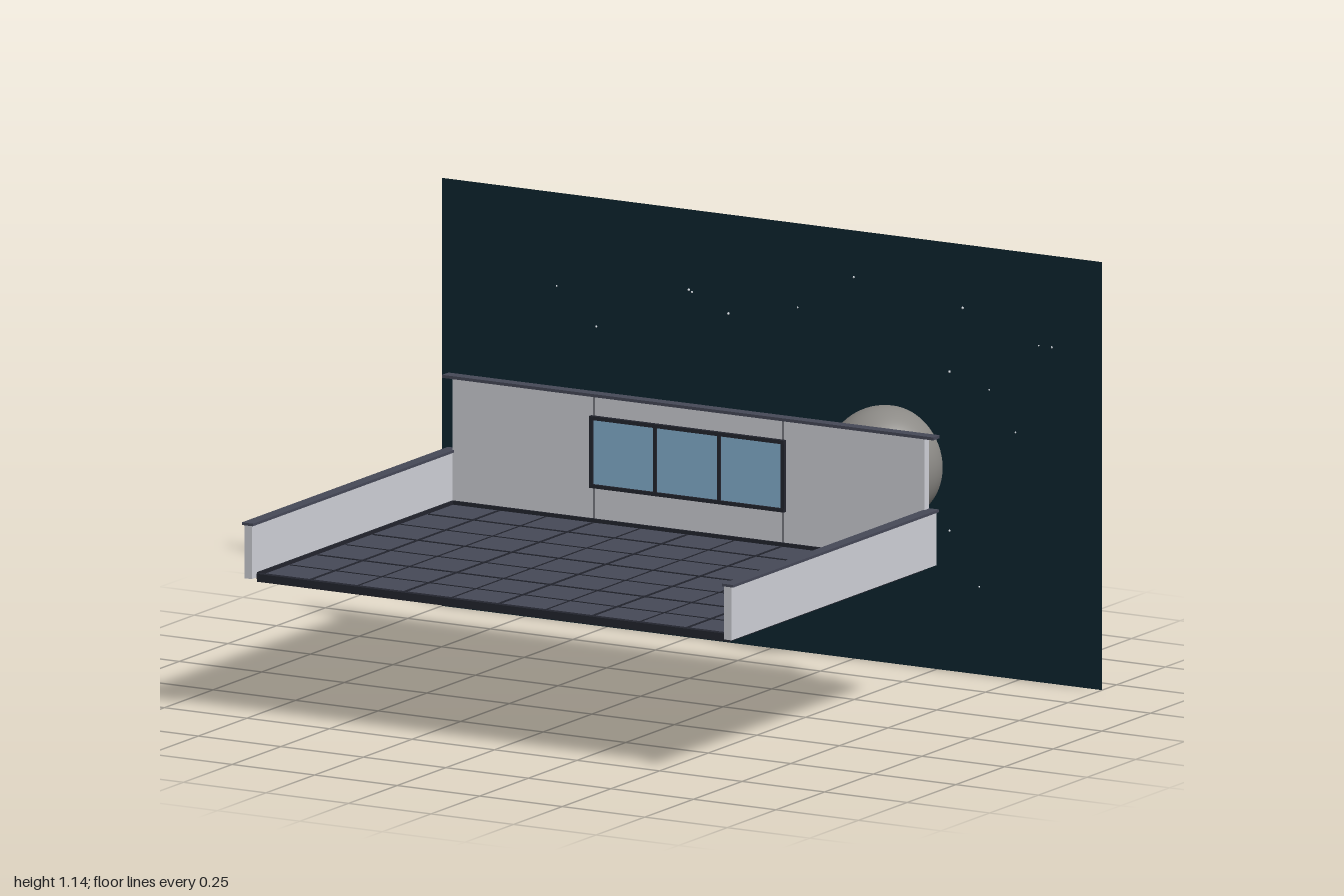
import * as THREE from 'three';

const mat = (name, color, extra = {}) => {
  const m = new THREE.MeshStandardMaterial({ color, ...extra });
  m.name = name;
  return m;
};

export function createModel() {
  const model = new THREE.Group();
  model.name = 'moonObservationDeck';

  const wall = mat('paleWall', 0xd0d1d8);
  const floorGrey = mat('slateFloor', 0x464958);
  const dark = mat('darkTrim', 0x23252e);
  const glass = mat('blueGlass', 0x86b2d2);
  const sky = mat('nightSky', 0x0d2530, { side: THREE.DoubleSide });
  const rock = mat('moonRock', 0x8c8a86);
  const crater = mat('craterGrey', 0x6c6a67);
  const starWhite = mat('starWhite', 0xe8eef4);

  const add = (name, geo, material, x, y, z, parent = model) => {
    const m = new THREE.Mesh(geo, material);
    m.name = name;
    m.position.set(x, y, z);
    parent.add(m);
    return m;
  };
  // box given by its limits on each axis
  const box = (name, material, [x0, x1], [y0, y1], [z0, z1], parent) =>
    add(name, new THREE.BoxGeometry(x1 - x0, y1 - y0, z1 - z0), material,
      (x0 + x1) / 2, (y0 + y1) / 2, (z0 + z1) / 2, parent);

  // Floor slab, front lip and base
  box('floorBase', dark, [-0.715, 0.715], [0.37, 0.378], [-0.243, 0.757]);
  box('floor', floorGrey, [-0.715, 0.715], [0.378, 0.386], [-0.245, 0.757]);
  box('frontLip', dark, [-0.715, 0.715], [0.378, 0.392], [0.744, 0.761]);

  // Floor joints: every second one is wider
  const joints = new THREE.Group();
  joints.name = 'floorJoints';
  model.add(joints);
  for (let i = -4; i <= 4; i++) {
    const w = i % 2 ? 0.002 : 0.004, x = i * 0.1425;
    box('lengthwiseJoint', dark, [x - w, x + w], [0.385, 0.3875], [-0.24, 0.745], joints);
  }
  for (let i = 0; i < 6; i++) {
    const w = i % 2 ? 0.002 : 0.004, z = -0.107 + i * 0.142;
    box('crosswiseJoint', dark, [-0.705, 0.705], [0.385, 0.3875], [z - w, z + w], joints);
  }

  // Side walls with dark caps
  for (const s of [-1, 1]) {
    const side = new THREE.Group();
    side.name = s > 0 ? 'leftSideWall' : 'rightSideWall';
    model.add(side);
    const span = (a, b) => (s > 0 ? [a, b] : [-b, -a]);
    box('sidePanel', wall, span(0.715, 0.738), [0.382, 0.524], [-0.27, 0.784], side);
    box('sideCap', floorGrey, span(0.711, 0.744), [0.524, 0.531], [-0.272, 0.786], side);
    box('sideSkirting', dark, span(0.71, 0.715), [0.386, 0.396], [-0.245, 0.757], side);
  }

  // Back wall with cap, skirting and panel seams
  box('backPanel', wall, [-0.715, 0.715], [0.382, 0.721], [-0.27, -0.247]);
  box('backCap', floorGrey, [-0.744, 0.744], [0.721, 0.729], [-0.275, -0.242]);
  box('backSkirting', dark, [-0.715, 0.715], [0.386, 0.396], [-0.247, -0.241]);
  for (const x of [-0.286, 0.286])
    box('panelSeam', dark, [x - 0.0015, x + 0.0015], [0.396, 0.721], [-0.247, -0.2455]);

  // Window: glass, rails and uprights
  const win = new THREE.Group();
  win.name = 'window';
  model.add(win);
  box('glass', glass, [-0.288, 0.288], [0.486, 0.664], [-0.247, -0.241], win);
  for (const y of [0.484, 0.666])
    box('windowRail', dark, [-0.295, 0.295], [y - 0.005, y + 0.005], [-0.247, -0.235], win);
  for (const x of [-0.29, -0.097, 0.097, 0.29])
    box('windowUpright', dark, [x - 0.005, x + 0.005], [0.484, 0.666], [-0.247, -0.236], win);

  // Low row of alternating dark blocks and pale rounded bars by the left wall
  for (let i = 0; i < 6; i++) {
    const z = 0.072 + i * 0.0715;
    if (i % 2 === 0) {
      box('darkBlock', dark, [0.622, 0.698], [0.385, 0.393], [z - 0.017, z + 0.017]);
    } else {
      const bar = add('paleBar', new THREE.CylinderGeometry(0.014, 0.014, 0.074, 16), rock, 0.66, 0.386, z);
      bar.rotation.z = Math.PI / 2;
      bar.scale.x = 0.5;
    }
  }

  // Moon with flattened craters on its front
  const moon = new THREE.Group();
  moon.name = 'moon';
  moon.position.set(0.368, 0.54, -0.63);
  model.add(moon);
  add('moonBall', new THREE.SphereGeometry(0.156, 48, 32), rock, 0, 0, 0, moon);
  for (const [x, y, r] of [[-0.05, 0.055, 0.03], [0.055, 0.03, 0.038], [0.01, -0.045, 0.028]])
    add('crater', new THREE.SphereGeometry(r, 24, 12), crater, x, y, 0.151, moon).scale.z = 0.18;

  // Night sky sheet
  add('skyBackdrop', new THREE.PlaneGeometry(2, 1.144), sky, 0, 0.572, -0.675);

  // Stars as [x, y]
  const stars = [
    [-0.65, 0.895], [-0.24, 0.925], [-0.13, 0.88], [0.08, 0.92], [0.25, 1.02], [0.58, 0.975],
    [0.81, 0.9], [0.85, 0.9], [0.54, 0.8], [0.66, 0.765], [-0.53, 0.8], [-0.25, 0.93],
    [-0.82, 0.56], [-0.76, 0.61], [-0.74, 0.62], [0.74, 0.66], [-0.6, 0.32], [-0.61, 0.36],
    [-0.36, 0.305], [-0.42, 0.17], [-0.66, 0.215], [-0.77, 0.165], [0.08, 0.19], [0.22, 0.225],
    [0.29, 0.225], [0.3, 0.215], [0.28, 0.295], [0.63, 0.235], [0.54, 0.375], [-0.13, 0.19],
  ];
  const starGeo = new THREE.SphereGeometry(1, 6, 4);
  stars.forEach(([x, y], i) =>
    add('star', starGeo, starWhite, x, y, -0.671).scale.setScalar(0.0025 + (i % 3) * 0.0006));

  return model;
}
